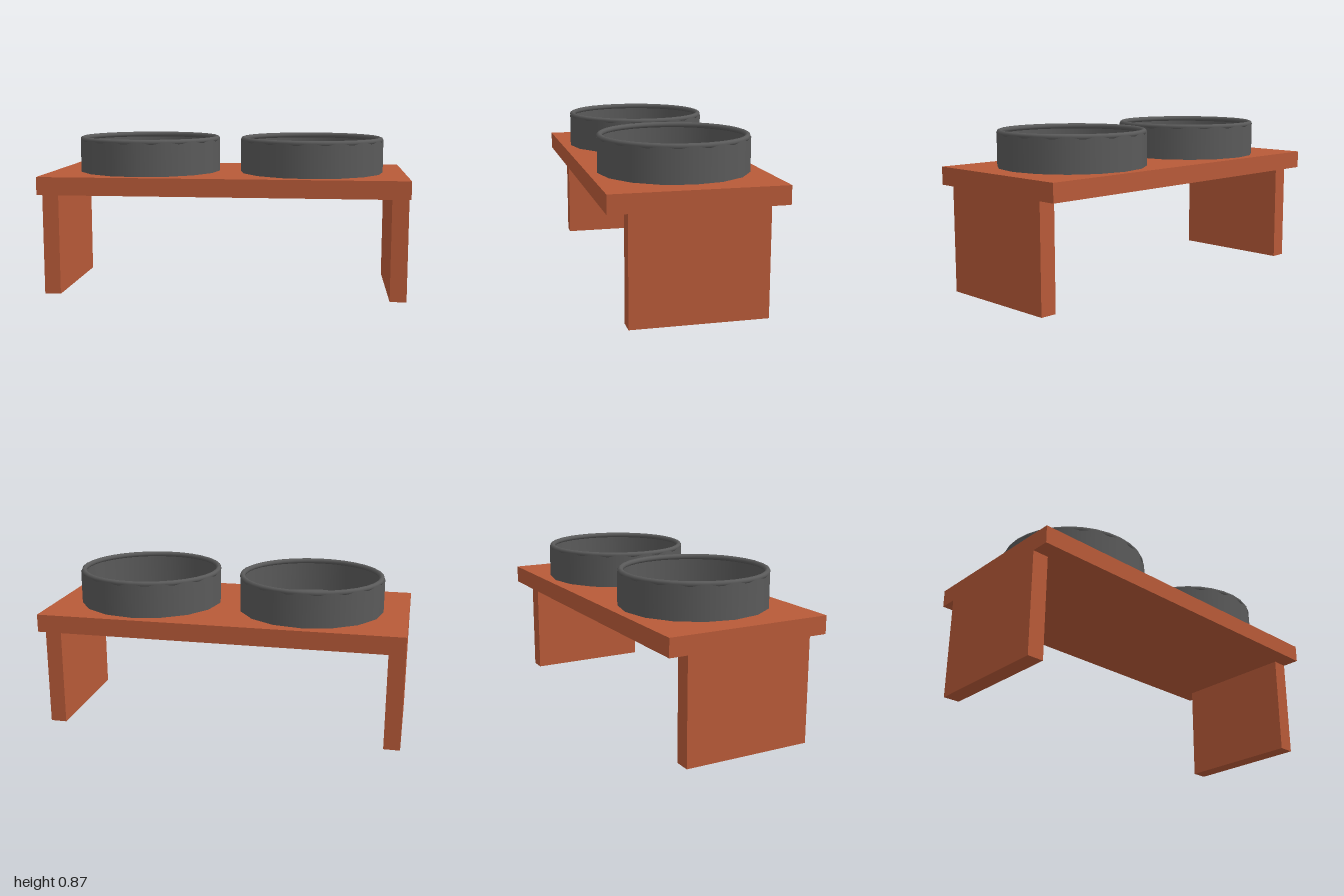
import * as THREE from 'three';

const wood = new THREE.MeshStandardMaterial({ color: 0xb85a38 });
const bowlGrey = new THREE.MeshStandardMaterial({ color: 0x5a5a5a });
const bowlWall = new THREE.MeshStandardMaterial({ color: 0x5a5a5a, side: THREE.DoubleSide });

const TOP = 0.668; // height of the table top
const LEG = 0.57;  // height of the legs
const RIM = 0.853; // height of the bowl rim centre

function add(parent, name, geometry, material, x, y, z) {
  const mesh = new THREE.Mesh(geometry, material);
  mesh.name = name;
  mesh.position.set(x, y, z);
  parent.add(mesh);
  return mesh;
}

// Open faceted wall, flat floor and a rounded rim
function createBowl(name, x) {
  const bowl = new THREE.Group();
  bowl.name = name;
  bowl.position.x = x;
  const height = RIM - TOP;
  add(bowl, 'bowlWall', new THREE.CylinderGeometry(0.405, 0.405, height, 16, 1, true),
    bowlWall, 0, TOP + height / 2, 0);
  const floor = add(bowl, 'bowlFloor', new THREE.CircleGeometry(0.405, 16), bowlGrey, 0, TOP + 0.005, 0);
  floor.rotation.x = -Math.PI / 2;
  const rim = add(bowl, 'bowlRim', new THREE.TorusGeometry(0.388, 0.015, 8, 32), bowlGrey, 0, RIM, 0);
  rim.rotation.x = -Math.PI / 2;
  return bowl;
}

export function createModel() {
  const model = new THREE.Group();
  model.name = 'raisedBowlStand';

  // Table top
  add(model, 'tableTop', new THREE.BoxGeometry(2, TOP - LEG, 0.91), wood, 0, (TOP + LEG) / 2, 0);

  // Panel legs flush with the ends
  for (const [name, side] of [['leftLeg', 1], ['rightLeg', -1]]) {
    add(model, name, new THREE.BoxGeometry(0.09, LEG, 0.71), wood, side * 0.955, LEG / 2, 0);
  }

  // Bowls
  model.add(createBowl('leftBowl', 0.475), createBowl('rightBowl', -0.455));
  return model;
}
